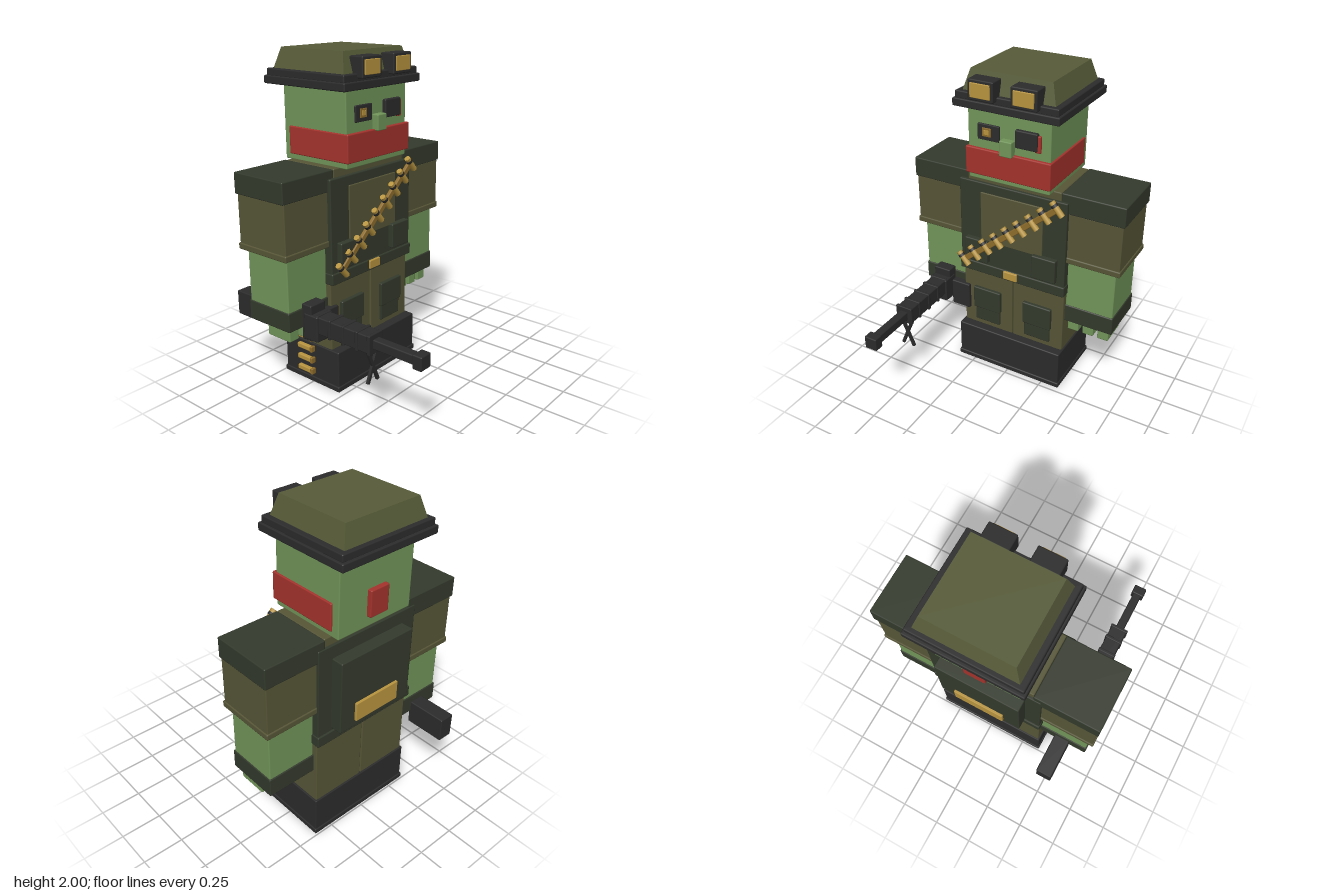
import * as THREE from 'three';
import { RoundedBoxGeometry } from 'three/addons/geometries/RoundedBoxGeometry.js';

const mat = (name, color) => {
  const m = new THREE.MeshStandardMaterial({ color });
  m.name = name;
  return m;
};

export function createModel() {
  const skin = mat('green skin', 0x72965a);
  const cloth = mat('olive cloth', 0x575637);
  const helmetOlive = mat('helmet olive', 0x575c39);
  const vestGreen = mat('dark green', 0x343a2d);
  const black = mat('black', 0x2c2c2d);
  const red = mat('red', 0xa6332d);
  const gold = mat('gold', 0xb9953f);
  const brass = mat('dark brass', 0x8f6d2c);

  const model = new THREE.Group();
  const group = (name) => {
    const g = new THREE.Group();
    g.name = name;
    model.add(g);
    return g;
  };
  // Slightly bevelled box given by its limits on each axis
  const box = (parent, name, material, [x0, x1], [y0, y1], [z0, z1]) => {
    const w = x1 - x0, h = y1 - y0, d = z1 - z0;
    const r = Math.min(0.007, Math.min(w, h, d) * 0.25);
    const mesh = new THREE.Mesh(new RoundedBoxGeometry(w, h, d, 1, r), material);
    mesh.position.set((x0 + x1) / 2, (y0 + y1) / 2, (z0 + z1) / 2);
    mesh.name = name;
    parent.add(mesh);
    return mesh;
  };
  // Same box on both sides of the body
  const pair = (parent, name, material, [x0, x1], y, z) => {
    box(parent, name + 'Left', material, [x0, x1], y, z);
    box(parent, name + 'Right', material, [-x1, -x0], y, z);
  };

  // Boots and legs
  const legs = group('legs');
  box(legs, 'boots', black, [-0.365, 0.365], [0.015, 0.26], [-0.485, -0.04]);
  box(legs, 'sole', black, [-0.372, 0.372], [0, 0.035], [-0.492, -0.033]);
  pair(legs, 'trouser', cloth, [0.003, 0.355], [0.25, 0.68], [-0.475, -0.1]);
  pair(legs, 'pocket', vestGreen, [0.09, 0.27], [0.295, 0.42], [-0.12, -0.087]);
  pair(legs, 'pocketFlap', vestGreen, [0.082, 0.278], [0.395, 0.55], [-0.12, -0.077]);

  // Torso, vest, belt and back pack
  const torso = group('torso');
  box(torso, 'shirt', cloth, [-0.31, 0.31], [0.7, 1.36], [-0.475, -0.1]);
  box(torso, 'vest', vestGreen, [-0.36, 0.36], [0.74, 1.31], [-0.49, -0.08]);
  box(torso, 'chestPanel', cloth, [-0.21, 0.21], [0.92, 1.25], [-0.09, -0.072]);
  box(torso, 'belt', vestGreen, [-0.365, 0.365], [0.68, 0.75], [-0.5, -0.07]);
  box(torso, 'buckle', gold, [-0.048, 0.048], [0.693, 0.747], [-0.08, -0.058]);
  pair(torso, 'pouch', vestGreen, [0.152, 0.312], [0.775, 0.93], [-0.09, -0.045]);
  box(torso, 'backPack', vestGreen, [-0.265, 0.265], [0.77, 1.23], [-0.565, -0.48]);
  box(torso, 'backPlate', gold, [-0.16, 0.16], [0.81, 0.93], [-0.58, -0.56]);

  // Bandolier of nine cartridges running diagonally across the chest
  const bandolier = group('bandolier');
  const cartridge = new THREE.CylinderGeometry(0.019, 0.019, 0.105, 8);
  const band = new THREE.CylinderGeometry(0.021, 0.021, 0.018, 8);
  for (let i = 0; i < 9; i++) {
    const c = new THREE.Group();
    c.name = 'cartridge';
    c.position.set(-0.317 + i * 0.079, 0.775 + i * 0.064, -0.037);
    c.rotation.z = 0.72;
    const shell = new THREE.Mesh(cartridge, gold);
    const ring = new THREE.Mesh(band, black);
    ring.position.y = 0.025;
    c.add(shell, ring);
    if (i < 8) box(c, 'link', brass, [0, 0.1], [-0.025, 0.012], [-0.022, 0.002]);
    bandolier.add(c);
  }

  // Arms and hands
  const arms = group('arms');
  pair(arms, 'shoulderPad', vestGreen, [0.31, 0.7], [1.235, 1.36], [-0.485, -0.1]);
  pair(arms, 'sleeve', cloth, [0.35, 0.69], [0.92, 1.24], [-0.475, -0.105]);
  pair(arms, 'sleeveHem', cloth, [0.35, 0.697], [0.912, 0.95], [-0.482, -0.098]);
  pair(arms, 'forearm', skin, [0.355, 0.662], [0.55, 0.915], [-0.445, -0.13]);
  pair(arms, 'wristBand', vestGreen, [0.35, 0.668], [0.48, 0.598], [-0.452, -0.123]);
  for (let i = 0; i < 3; i++) {
    const x = 0.365 + i * 0.1;
    pair(arms, 'finger', skin, [x, x + 0.073], [0.4, 0.49], [-0.335, -0.155]);
  }

  // Head and face
  const head = group('head');
  box(head, 'skull', skin, [-0.263, 0.263], [1.355, 1.82], [-0.527, -0.042]);
  box(head, 'scarf', red, [-0.274, 0.274], [1.39, 1.555], [-0.482, -0.022]);
  box(head, 'scarfKnot', red, [-0.065, 0.065], [1.42, 1.58], [-0.555, -0.52]);
  box(head, 'nose', skin, [-0.04, 0.04], [1.545, 1.64], [-0.05, 0]);
  box(head, 'eye', black, [-0.195, -0.055], [1.61, 1.705], [-0.05, -0.03]);
  box(head, 'irisRim', brass, [-0.162, -0.106], [1.633, 1.685], [-0.035, -0.025]);
  box(head, 'iris', gold, [-0.15, -0.118], [1.645, 1.673], [-0.03, -0.022]);
  box(head, 'scar', red, [0.17, 0.207], [1.6, 1.7], [-0.05, -0.027]);
  box(head, 'eyePatch', black, [0.05, 0.19], [1.608, 1.713], [-0.05, -0.018]);

  // Helmet: two rim bands, a tapered crown and goggles
  const helmet = group('helmet');
  box(helmet, 'lowerRim', black, [-0.332, 0.332], [1.795, 1.842], [-0.617, 0.012]);
  box(helmet, 'upperRim', black, [-0.32, 0.32], [1.838, 1.882], [-0.602, -0.002]);
  const crownGeometry = new THREE.BoxGeometry(0.58, 0.13, 0.55);
  const p = crownGeometry.attributes.position;
  for (let i = 0; i < p.count; i++) {
    if (p.getY(i) > 0) p.setXYZ(i, p.getX(i) * 0.87, p.getY(i), p.getZ(i) * 0.87);
  }
  crownGeometry.computeVertexNormals();
  const crown = new THREE.Mesh(crownGeometry, helmetOlive);
  crown.name = 'crown';
  crown.position.set(0, 1.935, -0.305);
  helmet.add(crown);
  pair(helmet, 'goggleFrame', black, [0.053, 0.213], [1.857, 1.975], [-0.06, 0.037]);
  pair(helmet, 'goggleLens', gold, [0.07, 0.196], [1.875, 1.958], [0.03, 0.045]);

  // Gun carried in the right hand
  const gun = group('gun');
  const cx = -0.505;
  const part = (name, half, y, z) => box(gun, name, black, [cx - half, cx + half], y, z);
  part('muzzle', 0.041, [0.48, 0.562], [0.64, 0.7]);
  part('barrel', 0.027, [0.494, 0.55], [0.36, 0.65]);
  part('shroud', 0.052, [0.47, 0.574], [-0.05, 0.365]);
  for (const z of [-0.02, 0.075, 0.175, 0.275, 0.36]) {
    part('shroudRing', 0.058, [0.464, 0.58], [z - 0.008, z + 0.012]);
  }
  part('receiver', 0.063, [0.42, 0.575], [-0.11, -0.005]);
  part('rearBlock', 0.058, [0.41, 0.628], [-0.13, -0.055]);
  part('gripBar', 0.03, [0.46, 0.54], [-0.5, -0.1]);
  part('stock', 0.05, [0.395, 0.55], [-0.7, -0.44]);
  box(gun, 'magazine', black, [-0.445, -0.312], [0.365, 0.545], [-0.29, -0.078]);
  // Crossed bipod legs
  for (const s of [-1, 1]) {
    const leg = new THREE.Mesh(new THREE.BoxGeometry(0.018, 0.21, 0.016), black);
    leg.name = 'bipodLeg';
    leg.position.set(cx, 0.38, 0.345);
    leg.rotation.z = s * 0.4;
    gun.add(leg);
  }
  // Loose cartridges hanging below the magazine
  for (let i = 0; i < 4; i++) {
    const y = 0.1 + i * 0.074;
    box(gun, 'feedCartridge', gold, [-0.42, -0.392], [y - 0.016, y + 0.016], [-0.33, -0.21]);
    box(gun, 'feedCartridgeBase', brass, [-0.423, -0.389], [y - 0.019, y + 0.019], [-0.225, -0.205]);
  }

  return model;
}
